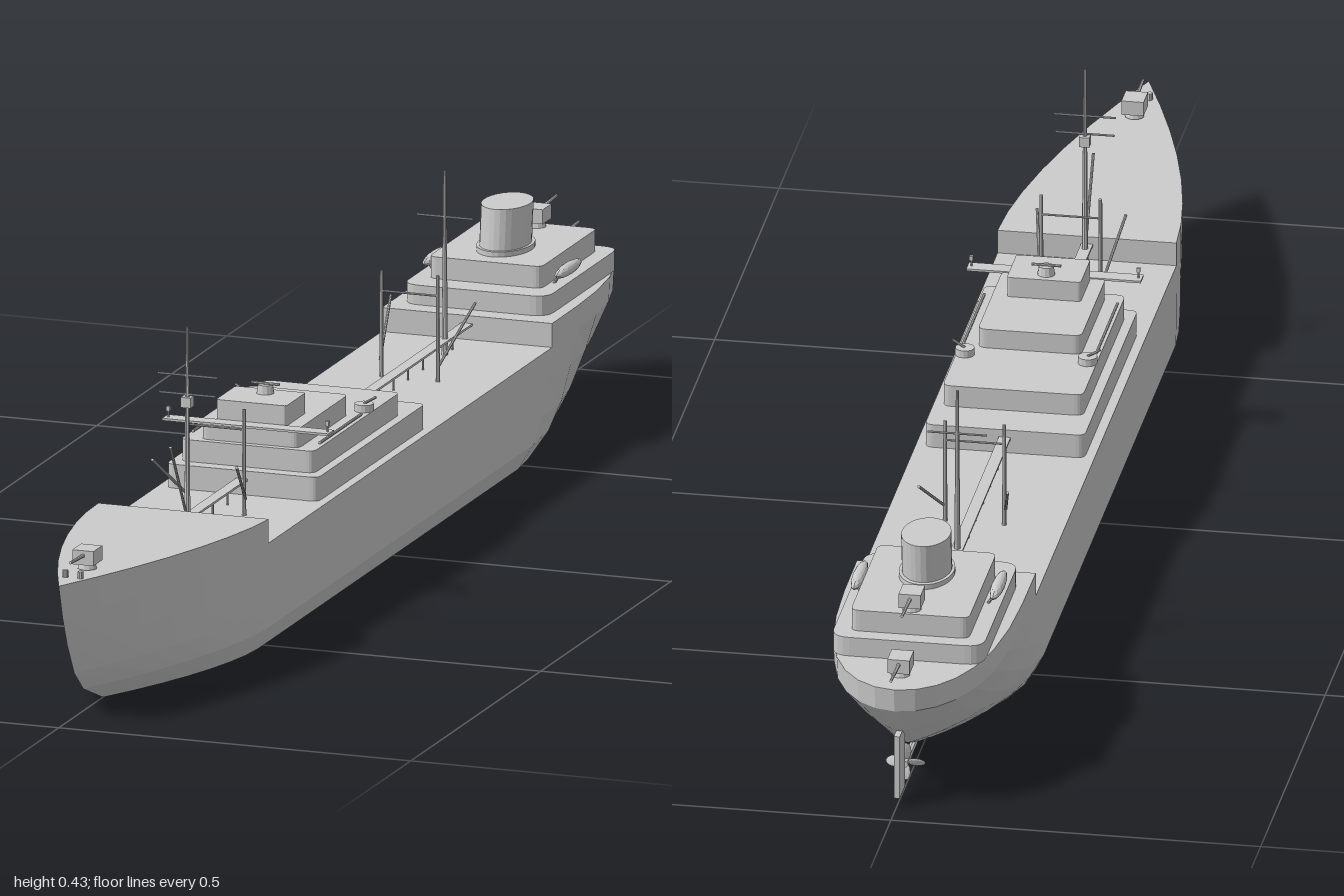
import * as THREE from 'three';

const mat = new THREE.MeshStandardMaterial({ color: 0xcccccc, flatShading: true, side: THREE.DoubleSide });
const DECK = 0.147, RAISED = 0.18;

// Waterlines of the hull: height, half beam, bow and stern ends, stern taper start and shape
const waterlines = [
  { y: 0, w: 0.106, bow: 0.83, stern: -0.70, aft: -0.48, a: 2, b: 0.9 },
  { y: 0.03, w: 0.12, bow: 0.905, stern: -0.81, aft: -0.5, a: 2, b: 0.9 },
  { y: 0.06, w: 0.121, bow: 0.94, stern: -0.88, aft: -0.53, a: 2.2, b: 0.85 },
  { y: 0.105, w: 0.121, bow: 0.967, stern: -0.94, aft: -0.55, a: 2.7, b: 0.7 },
  { y: DECK, w: 0.121, bow: 0.985, stern: -0.973, aft: -0.57, a: 3.4, b: 0.5 },
  { y: RAISED, w: 0.121, bow: 1, stern: -0.977, aft: -0.57, a: 3.5, b: 0.5, sheer: 0.015 },
];
const bowSteps = [0, 0.12, 0.25, 0.4, 0.55, 0.7, 0.85, 1];
const sternSteps = [1, 0.985, 0.94, 0.87, 0.77, 0.63, 0.45, 0.25, 0];

function bowPoint(l, t) {
  return [l.w * (1 - t ** 1.65), l.y + (l.sheer || 0) * t, 0.52 + t * (l.bow - 0.52)];
}
function sternPoint(l, t) {
  return [l.w * (1 - t ** l.a) ** l.b, l.y, l.aft + t * (l.stern - l.aft)];
}

// Closed, mirrored loft through rows of half-breadth points running stern to bow
function loft(rows) {
  const n = rows[0].length, ring = 2 * n, pos = [], idx = [];
  for (const row of rows) {
    for (const [x, y, z] of row) pos.push(x, y, z);
    for (const [x, y, z] of [...row].reverse()) pos.push(-x, y, z);
  }
  for (let j = 0; j < rows.length - 1; j++) {
    for (let i = 0; i < ring; i++) {
      const a = j * ring + i, b = j * ring + (i + 1) % ring;
      idx.push(a, a + ring, b + ring, a, b + ring, b);
    }
  }
  const top = (rows.length - 1) * ring;
  for (let i = 0; i < n - 1; i++) {
    const r = ring - 1 - i;
    idx.push(i, i + 1, r - 1, i, r - 1, r);
    idx.push(top + i, top + r - 1, top + i + 1, top + i, top + r, top + r - 1);
  }
  const g = new THREE.BufferGeometry();
  g.setAttribute('position', new THREE.Float32BufferAttribute(pos, 3));
  g.setIndex(idx);
  g.computeVertexNormals();
  return g;
}

export function createModel() {
  const ship = new THREE.Group();
  ship.name = 'ship';

  const add = (name, geo, x = 0, y = 0, z = 0, parent = ship) => {
    const m = new THREE.Mesh(geo, mat);
    m.name = name;
    m.position.set(x, y, z);
    parent.add(m);
    return m;
  };
  const box = (name, w, h, d, x, y, z) => add(name, new THREE.BoxGeometry(w, h, d), x, y, z);
  // Round bar between two points
  const bar = (name, from, to, r = 0.002, r2 = r) => {
    const a = new THREE.Vector3(...from), b = new THREE.Vector3(...to);
    const m = add(name, new THREE.CylinderGeometry(r2, r, a.distanceTo(b), 8));
    m.position.copy(a).add(b).multiplyScalar(0.5);
    m.quaternion.setFromUnitVectors(new THREE.Vector3(0, 1, 0), b.sub(a).normalize());
    return m;
  };
  // Deckhouse with rounded corners, spanning z0..z1 and y0..y1
  const house = (name, half, z0, z1, y0, y1, r = 0.012) => {
    const s = new THREE.Shape();
    s.moveTo(-half + r, -z1);
    s.lineTo(half - r, -z1).quadraticCurveTo(half, -z1, half, -z1 + r);
    s.lineTo(half, -z0 - r).quadraticCurveTo(half, -z0, half - r, -z0);
    s.lineTo(-half + r, -z0).quadraticCurveTo(-half, -z0, -half, -z0 - r);
    s.lineTo(-half, -z1 + r).quadraticCurveTo(-half, -z1, -half + r, -z1);
    const g = new THREE.ExtrudeGeometry(s, { depth: y1 - y0, bevelEnabled: false, curveSegments: 5 });
    return add(name, g.rotateX(-Math.PI / 2), 0, y0);
  };

  // Hull, forecastle and poop
  add('hull', loft(waterlines.slice(0, 5).map(l =>
    [...sternSteps.map(t => sternPoint(l, t)), ...bowSteps.map(t => bowPoint(l, t))])));
  const upper = waterlines.slice(4);
  add('forecastle', loft(upper.map(l => bowSteps.map(t => bowPoint(l, t)))));
  add('poop', loft(upper.map(l => sternSteps.map(t => sternPoint(l, t)))));

  // Midship deckhouses and bridge
  house('midshipHouseLower', 0.108, -0.118, 0.295, DECK, 0.18);
  house('midshipHouseUpper', 0.095, -0.055, 0.275, 0.18, 0.21);
  house('bridgeDeck', 0.07, 0.075, 0.265, 0.21, 0.237);
  house('wheelhouse', 0.05, 0.185, 0.26, 0.237, 0.265, 0.005);
  box('bridgeWings', 0.236, 0.003, 0.022, 0, 0.237, 0.272);
  add('compassStand', new THREE.CylinderGeometry(0.01, 0.012, 0.012, 12), 0, 0.271, 0.205);
  bar('compassBar', [-0.02, 0.278, 0.205], [0.02, 0.278, 0.205]);

  // Aft deckhouses and raked oval funnel
  house('aftHouseLower', 0.103, -0.878, -0.6, RAISED, 0.207, 0.025);
  house('aftHouseUpper', 0.08, -0.855, -0.64, 0.207, 0.237);
  const funnelGeo = new THREE.CylinderGeometry(1, 1, 0.063, 28).scale(0.033, 1, 0.048);
  const fp = funnelGeo.attributes.position;
  for (let i = 0; i < fp.count; i++) fp.setZ(i, fp.getZ(i) - 0.12 * fp.getY(i));
  funnelGeo.computeVertexNormals();
  add('funnel', funnelGeo, 0, 0.268, -0.722);
  add('funnelBase', new THREE.CylinderGeometry(1, 1, 0.008, 28).scale(0.037, 1, 0.054), 0, 0.24, -0.72);

  for (const s of [-1, 1]) {
    // Lifeboats on davits
    add('lifeboat', new THREE.SphereGeometry(1, 12, 8).scale(0.009, 0.008, 0.046), s * 0.094, 0.22, -0.705);
    for (const z of [-0.735, -0.675]) bar('davit', [s * 0.085, 0.206, z], [s * 0.096, 0.224, z]);
    // Gun tubs, wing lamps and rails beside the bridge deck
    add('gunTub', new THREE.CylinderGeometry(0.013, 0.013, 0.01, 14), s * 0.083, 0.215, 0.05);
    bar('tubGun', [s * 0.083, 0.22, 0.05], [s * 0.1, 0.23, 0.05], 0.0018);
    bar('wingPost', [s * 0.113, 0.237, 0.272], [s * 0.113, 0.25, 0.272], 0.0015);
    box('wingLamp', 0.005, 0.006, 0.005, s * 0.113, 0.25, 0.272);
    bar('sideRail', [s * 0.09, 0.213, 0.08], [s * 0.09, 0.213, 0.24]);
    // Bow bollards
    add('bollard', new THREE.CylinderGeometry(0.004, 0.004, 0.01, 10), s * 0.011, 0.198, 0.945);
  }

  // Deck guns: mount, shield and barrel pointing outward along the keel
  for (const [y, z, dir, reach] of [[0.193, 0.89, 1, 0.065], [0.237, -0.838, -1, 0.077], [0.18, -0.925, -1, 0.075]]) {
    add('gunMount', new THREE.CylinderGeometry(0.01, 0.013, 0.01, 12), 0, y + 0.005, z);
    box('gunShield', 0.03, 0.02, 0.034, 0, y + 0.018, z);
    bar('gunBarrel', [0, y + 0.02, z], [0, y + 0.023, z + dir * reach], 0.003, 0.002);
  }

  // Masts, yards, kingposts and booms: mast z, mast top, kingpost z, boom end z
  for (const [mz, top, kz, bz] of [[0.505, 0.43, 0.395, 0.478], [-0.485, 0.4, -0.35, -0.44]]) {
    bar('mast', [0, DECK, mz], [0, top, mz], 0.0045, 0.002);
    bar('yard', [-0.04, 0.337, mz], [0.04, 0.337, mz], 0.0015);
    bar('kingpostBeam', [-0.04, 0.265, kz], [0.04, 0.265, kz], 0.0015);
    for (const s of [-1, 1]) {
      bar('kingpost', [s * 0.04, DECK, kz], [s * 0.04, 0.293, kz], 0.003, 0.0025);
      bar('boom', [s * 0.042, 0.17, kz], [s * 0.06, 0.235, bz]);
    }
  }
  bar('upperYard', [-0.042, 0.363, 0.505], [0.042, 0.363, 0.505], 0.0015);
  box('crowsNest', 0.014, 0.014, 0.014, 0, 0.327, 0.505);
  bar('foreBoom', [0, 0.18, 0.513], [0, 0.28, 0.57]);

  // Raised walkways along the main deck
  for (const [z0, z1] of [[-0.57, -0.118], [0.295, 0.52]]) {
    box('walkway', 0.016, 0.003, z1 - z0, 0, 0.168, (z0 + z1) / 2);
    const n = Math.round((z1 - z0) / 0.06);
    for (let i = 1; i < n; i++) {
      const z = z0 + (z1 - z0) * i / n;
      bar('walkwayPost', [0, DECK, z], [0, 0.168, z], 0.0015);
    }
  }

  // Rudder, shaft and propeller
  box('rudder', 0.008, 0.09, 0.04, 0, 0.057, -0.935);
  bar('rudderStock', [0, 0.09, -0.925], [0, 0.15, -0.925], 0.004);
  bar('propellerShaft', [0, 0.035, -0.77], [0, 0.035, -0.895], 0.005);
  const propeller = new THREE.Group();
  propeller.name = 'propeller';
  propeller.position.set(0, 0.035, -0.885);
  ship.add(propeller);
  for (let i = 0; i < 4; i++) {
    const arm = new THREE.Group();
    arm.rotation.z = i * Math.PI / 2;
    propeller.add(arm);
    const blade = add('blade', new THREE.SphereGeometry(1, 8, 6).scale(0.008, 0.013, 0.0018), 0, 0.014, 0, arm);
    blade.rotation.y = 0.5;
  }
  return ship;
}
